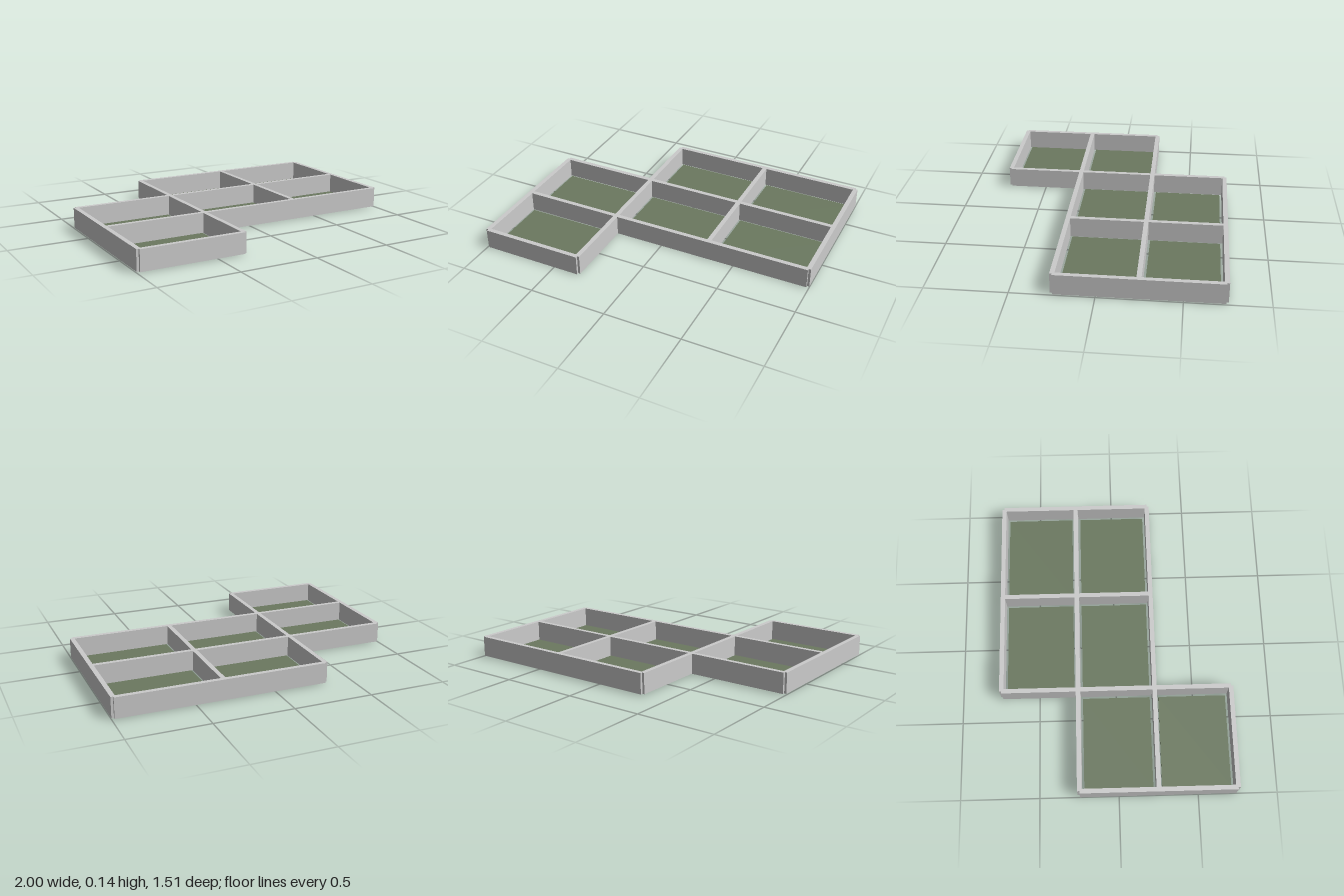
import * as THREE from 'three';

const PITCH_X = 0.657, PITCH_Z = 0.493;   // room spacing
const WALL = 0.029, WALL_BASE = 0.0065, WALL_TOP = 0.136;
const FLOOR = [0.6, 0.013, 0.437];

// Occupied rooms as [column, row], the middle room being [0, 0]
const ROOMS = [[0, -1], [1, -1], [-1, 0], [0, 0], [1, 0], [-1, 1]];

export function createModel() {
  const model = new THREE.Group();
  const wallMaterial = new THREE.MeshStandardMaterial({ color: 0xcccccc });
  const floorMaterial = new THREE.MeshStandardMaterial({ color: 0x6b7960 });

  function addBox(name, size, position, material) {
    const mesh = new THREE.Mesh(new THREE.BoxGeometry(...size), material);
    mesh.name = name;
    mesh.position.set(...position);
    model.add(mesh);
  }

  const height = WALL_TOP - WALL_BASE;
  const midY = (WALL_TOP + WALL_BASE) / 2;
  const built = new Set();

  // Walls run between grid corners; neighbouring rooms share one wall
  function addWall(alongX, col, row) {
    const key = `${alongX},${col},${row}`;
    if (built.has(key)) return;
    built.add(key);
    const size = alongX ? [PITCH_X, height, WALL] : [WALL, height, PITCH_Z];
    addBox(alongX ? 'crossWall' : 'sideWall', size, [col * PITCH_X, midY, row * PITCH_Z], wallMaterial);
  }

  for (const [col, row] of ROOMS) {
    // Floor panel, set in from the walls with a narrow gap all round
    addBox('floorPanel', FLOOR, [col * PITCH_X, FLOOR[1] / 2, row * PITCH_Z], floorMaterial);
    for (const side of [-0.5, 0.5]) {
      addWall(true, col, row + side);
      addWall(false, col + side, row);
    }
  }
  return model;
}
